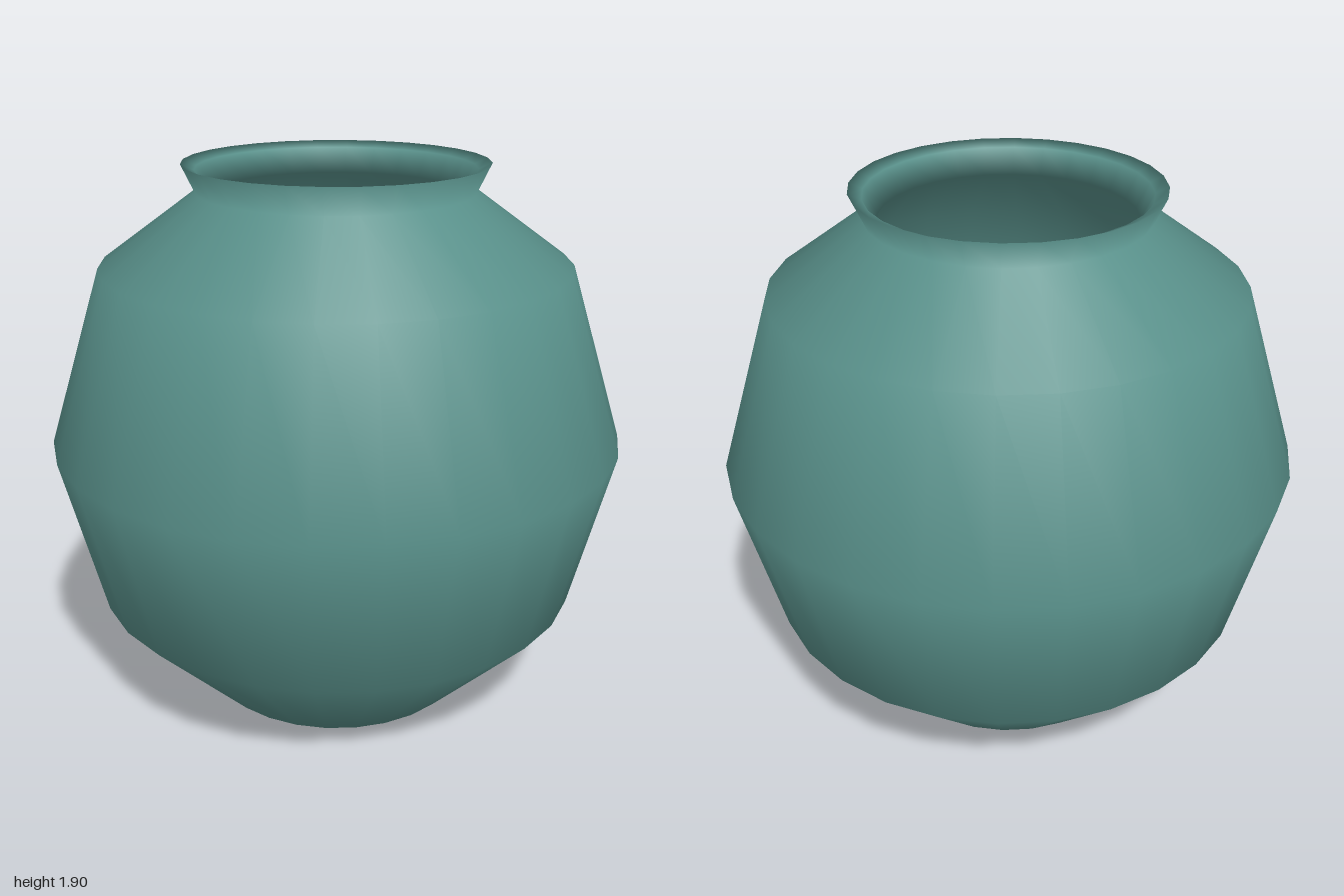
import * as THREE from 'three';

const SIDES = 28;

// Revolves a profile of [radius, height] pairs, smooth shaded
function lathe(name, profile, material) {
  const points = profile.map(([r, y]) => new THREE.Vector2(r, y));
  const mesh = new THREE.Mesh(new THREE.LatheGeometry(points, SIDES), material);
  mesh.name = name;
  return mesh;
}

export function createModel() {
  const group = new THREE.Group();
  group.name = 'vase';

  const glaze = new THREE.MeshStandardMaterial({ color: 0x5a928c });
  glaze.name = 'teal glaze';

  // One closed wall: base, round belly, neck, flared lip, then back down the inside
  group.add(lathe('vaseBody', [
    [0, 0], [0.475, 0],
    [0.857, 0.385], [1, 0.955], [0.81, 1.565],
    [0.475, 1.81], [0.52, 1.905],
    [0.475, 1.885], [0.43, 1.8],
    [0.785, 1.535], [0.955, 0.955], [0.82, 0.405],
    [0.455, 0.045], [0, 0.045],
  ], glaze));

  return group;
}
